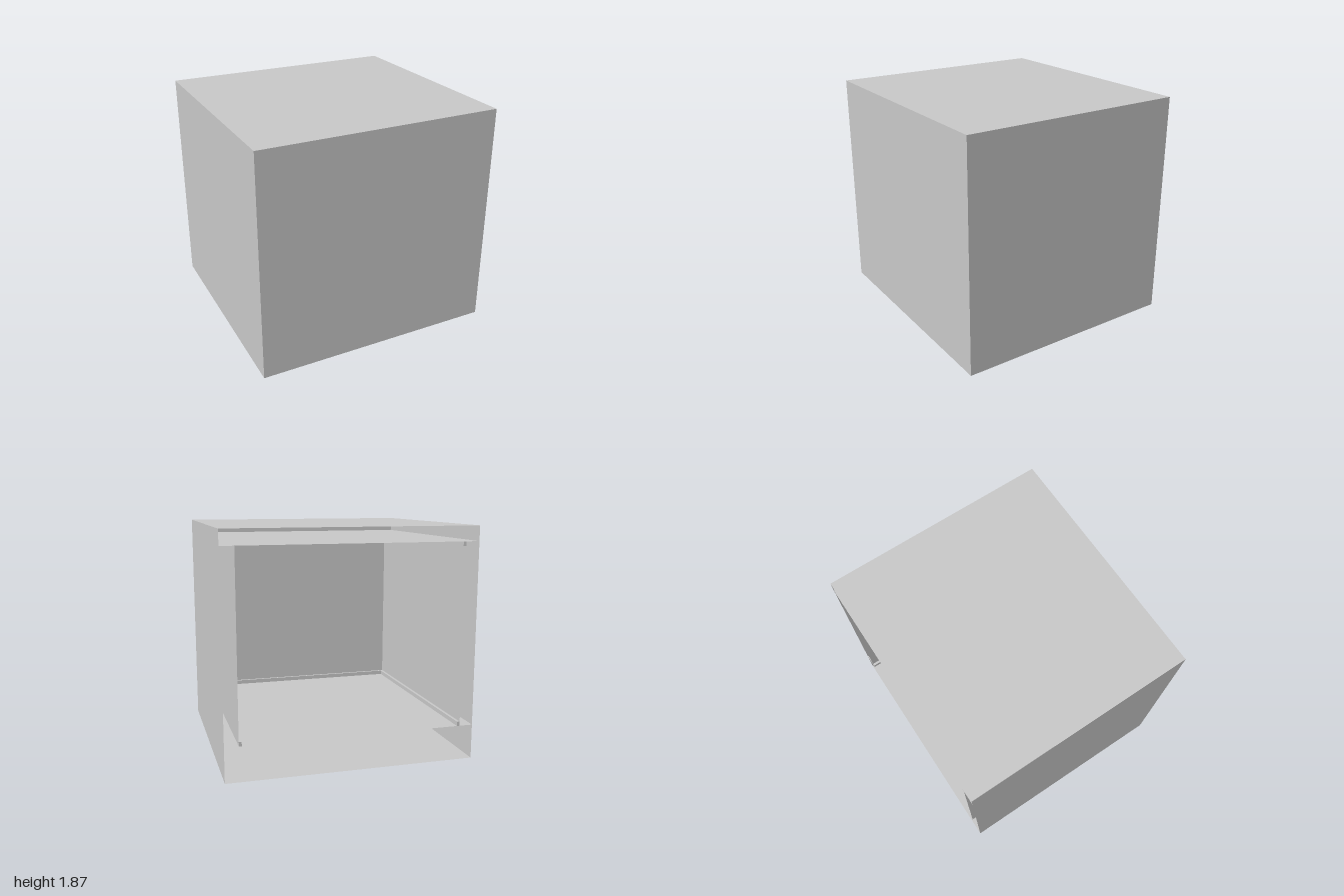
import * as THREE from 'three';

export function createModel() {
  const model = new THREE.Group();
  model.name = 'openBackHousing';
  const grey = new THREE.MeshStandardMaterial({ color: 0xc8c8c8, side: THREE.DoubleSide });
  grey.name = 'plain grey';

  const W = 2, H = 1.87, D = 1.88;           // outer size
  const inX = 0.89, inZ = 0.83;              // inner wall positions
  const floorY = 0.28, ceilY = 1.75;         // inner plates
  const lipH = 0.035, lipT = 0.022;          // trim strips

  // Single thin sheet: turned about x for plates, about y for side walls
  const sheet = (name, w, h, pos, rx = 0, ry = 0) => {
    const m = new THREE.Mesh(new THREE.PlaneGeometry(w, h), grey);
    m.name = name;
    m.position.set(...pos);
    m.rotation.set(rx, ry, 0);
    model.add(m);
  };
  const strip = (name, size, pos) => {
    const m = new THREE.Mesh(new THREE.BoxGeometry(...size), grey);
    m.name = name;
    m.position.set(...pos);
    model.add(m);
  };
  const Q = Math.PI / 2;

  // Outer shell, open at the back
  sheet('outerFront', W, H, [0, H / 2, D / 2]);
  sheet('outerTop', W, D, [0, H, 0], -Q);
  sheet('outerBottom', W, D, [0, 0, 0], Q);

  // Inner floor and ceiling span the whole shell
  sheet('innerFloor', W, D, [0, floorY, 0], -Q);
  sheet('innerCeiling', W, D, [0, ceilY, 0], Q);

  // Inner front wall
  const innerH = ceilY - floorY, midY = (ceilY + floorY) / 2;
  sheet('innerFront', inX * 2, innerH, [0, midY, inZ]);

  // Side walls, outer and inner
  const innerD = inZ + D / 2, innerMidZ = (inZ - D / 2) / 2;
  for (const [side, s] of [['left', 1], ['right', -1]]) {
    sheet(side + 'OuterWall', D, H, [s * W / 2, H / 2, 0], 0, s * Q);
    sheet(side + 'InnerWall', innerD, innerH, [s * inX, midY, innerMidZ], 0, -s * Q);
  }

  // Trim strips along the foot and head of the inner walls
  for (const [level, y] of [['lower', floorY + lipH / 2], ['upper', ceilY - lipH / 2]]) {
    for (const [side, s] of [['Left', 1], ['Right', -1]])
      strip(level + side + 'Trim', [lipT, lipH, innerD], [s * (inX - lipT / 2), y, innerMidZ]);
    strip(level + 'FrontTrim', [2 * (inX - lipT), lipH, lipT], [0, y, inZ - lipT / 2]);
  }
  return model;
}
